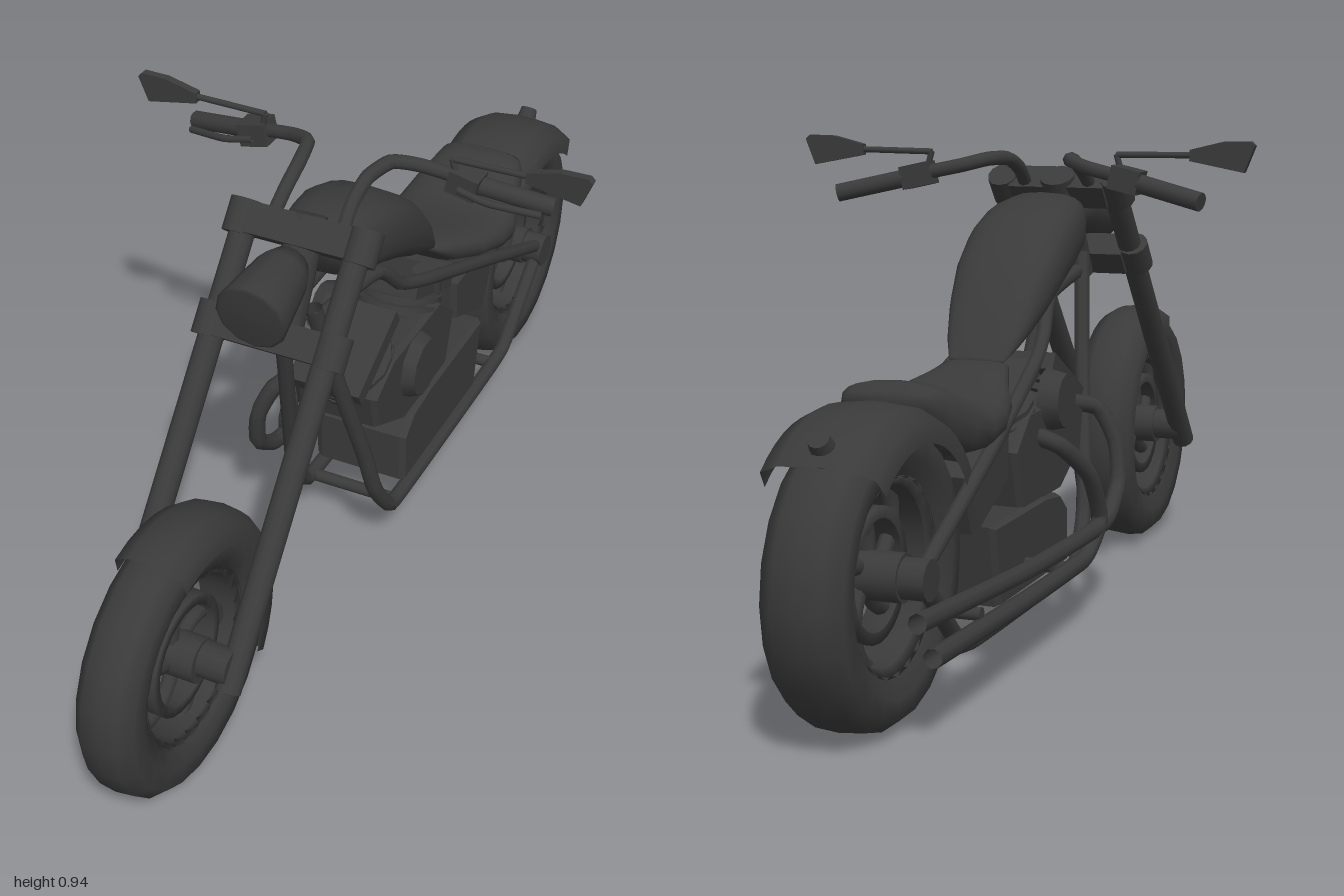
import * as THREE from 'three';

const mat = new THREE.MeshStandardMaterial({ color: 0x3a3a3a, side: THREE.DoubleSide });
const V = (p) => new THREE.Vector3(...p);
const flip = (p, s) => [p[0] * s, p[1], p[2]];

export function createModel() {
  const model = new THREE.Group();
  model.name = 'motorcycle';

  const add = (name, geo, parent = model) => {
    const m = new THREE.Mesh(geo, mat);
    m.name = name;
    parent.add(m);
    return m;
  };
  // straight round bar between two points
  const rod = (name, a, b, r, r2 = r, seg = 12, parent = model) => {
    const d = V(b).sub(V(a));
    const m = add(name, new THREE.CylinderGeometry(r2, r, d.length(), seg), parent);
    m.position.copy(V(a)).addScaledVector(d, 0.5);
    m.quaternion.setFromUnitVectors(V([0, 1, 0]), d.normalize());
    return m;
  };
  // bent pipe through points
  const pipe = (name, pts, r, parent = model, seg = 36) =>
    add(name, new THREE.TubeGeometry(new THREE.CatmullRomCurve3(pts.map(V), false, 'catmullrom', 0.3), seg, r, 8), parent);
  const both = (fn) => [1, -1].forEach((s) => fn(s, s > 0 ? 'left' : 'right'));
  // side outline [z, y] extruded across the width
  const slab = (name, pts, half, bevel = 0.012) => {
    const shape = new THREE.Shape(pts.map(([z, y]) => new THREE.Vector2(-z, y)));
    const geo = new THREE.ExtrudeGeometry(shape, {
      depth: 2 * (half - bevel), bevelEnabled: true, bevelSize: 0.006, bevelThickness: bevel, bevelSegments: 1,
    });
    return add(name, geo.translate(0, 0, bevel - half).rotateY(Math.PI / 2));
  };
  // body lofted through rounded sections [z, top, bottom, halfWidth], front to back
  const loft = (name, secs, power, n = 20) => {
    const pos = [], idx = [], bend = (v) => Math.sign(v) * Math.abs(v) ** power;
    for (const [z, t, b, w] of secs)
      for (let j = 0; j < n; j++) {
        const a = (j / n) * Math.PI * 2;
        pos.push(w * bend(Math.cos(a)), (t + b) / 2 + ((t - b) / 2) * bend(Math.sin(a)), z);
      }
    const last = (secs.length - 1) * n, c = pos.length / 3;
    for (const s of [secs[0], secs[secs.length - 1]]) pos.push(0, (s[1] + s[2]) / 2, s[0]);
    for (let j = 0; j < n; j++) {
      const k = (j + 1) % n;
      for (let i = 0; i < last; i += n) idx.push(i + j, i + n + j, i + k, i + k, i + n + j, i + n + k);
      idx.push(c, j, k, c + 1, last + k, last + j);
    }
    const geo = new THREE.BufferGeometry();
    geo.setAttribute('position', new THREE.Float32BufferAttribute(pos, 3));
    geo.setIndex(idx);
    geo.computeVertexNormals();
    return add(name, geo);
  };
  // profile [radius, x] turned about the x axis, between two elevations from +z
  const turn = (name, pts, parent, seg = 24, from = 0, to = 360) => {
    const rad = Math.PI / 180;
    const geo = new THREE.LatheGeometry(pts.map((p) => new THREE.Vector2(...p)), seg, -to * rad, (to - from) * rad);
    return add(name, geo.rotateZ(-Math.PI / 2), parent);
  };

  // wheels
  const wheel = (name, z, w) => {
    const g = new THREE.Group();
    g.name = name;
    g.position.set(0, 0.26, z);
    model.add(g);
    turn('tire', [[0.165, -w * 0.75], [0.2, -w], [0.235, -w], [0.256, -w * 0.6], [0.26, 0], [0.256, w * 0.6],
      [0.235, w], [0.2, w], [0.165, w * 0.75], [0.165, -w * 0.75]], g, 22);
    turn('rim', [[0.152, -w * 0.6], [0.168, -w * 0.78], [0.168, w * 0.78], [0.152, w * 0.6], [0.152, -w * 0.6]], g);
    turn('innerRing', [[0.095, -0.025], [0.115, -0.025], [0.115, 0.025], [0.095, 0.025], [0.095, -0.025]], g);
    for (let i = 0; i < 5; i++) {
      const pts = [0.03, 0.07, 0.11, 0.14, 0.162].map((r, k) => {
        const a = (i / 5) * Math.PI * 2 + k * 0.24;
        return [0, r * Math.sin(a), r * Math.cos(a)];
      });
      pipe('spoke', pts, 0.015, g, 10);
    }
    rod('hub', [-w, 0, 0], [w, 0, 0], 0.042, 0.042, 16, g);
    return g;
  };
  const front = wheel('frontWheel', 0.74, 0.056);
  const rear = wheel('rearWheel', -0.74, 0.072);
  turn('frontFender', [[0.215, -0.067], [0.25, -0.064], [0.268, -0.035], [0.272, 0], [0.268, 0.035],
    [0.25, 0.064], [0.215, 0.067]], front, 14, 75, 216);
  turn('rearFender', [[0.222, -0.105], [0.26, -0.1], [0.279, -0.065], [0.286, 0], [0.279, 0.065],
    [0.26, 0.1], [0.222, 0.105]], rear, 14, 32, 131);
  rod('tailLight', [0, 0.475, -0.87], [0, 0.515, -0.905], 0.026, 0.018);

  // fork, clamps and steering head
  const forkAt = (y, x) => [x, y, 0.74 - (y - 0.245) * 0.872];
  both((s, side) => {
    rod(side + 'ForkLeg', forkAt(0.225, 0.113 * s), forkAt(0.84, 0.113 * s), 0.024);
    for (const y of [0.835, 0.69]) rod(side + 'ForkClamp', forkAt(y - 0.024, 0.12 * s), forkAt(y + 0.024, 0.12 * s), 0.031);
    rod(side + 'AxleSpacer', [0.04 * s, 0.262, 0.735], [0.113 * s, 0.262, 0.735], 0.034);
  });
  for (const y of [0.835, 0.69]) {
    const m = add('clampBridge', new THREE.BoxGeometry(0.2, 0.058, 0.06));
    m.position.set(...forkAt(y, 0));
    m.rotation.x = -0.72;
  }
  rod('steeringHead', [0, 0.65, 0.32], [0, 0.86, 0.2], 0.036);

  // headlight shell
  const lamp = add('headlight', new THREE.LatheGeometry([[0, -0.16], [0.035, -0.155], [0.052, -0.12], [0.062, -0.05],
    [0.069, 0], [0.062, 0.004], [0, 0.006]].map((p) => new THREE.Vector2(...p)), 12));
  lamp.position.set(0, 0.775, 0.425);
  lamp.rotation.x = Math.PI / 2 + 0.17;

  // handlebars, grips and mirrors
  both((s, side) => {
    const at = (p) => flip(p, s);
    pipe(side + 'Handlebar', [[0.07, 0.83, 0.22], [0.066, 0.875, 0.16], [0.068, 0.898, 0.1], [0.085, 0.9, 0.035],
      [0.13, 0.888, 0.005], [0.2, 0.873, -0.01], [0.25, 0.86, -0.02]].map(at), 0.014);
    rod(side + 'Grip', at([0.23, 0.864, -0.015]), at([0.37, 0.832, -0.05]), 0.018);
    const box = add(side + 'Switch', new THREE.BoxGeometry(0.058, 0.045, 0.05));
    box.position.set(0.214 * s, 0.868, -0.01);
    box.rotation.z = -0.22 * s;
    pipe(side + 'Lever', [[0.21, 0.865, 0.02], [0.27, 0.852, 0.02], [0.36, 0.833, -0.012]].map(at), 0.007);
    rod(side + 'MirrorPost', at([0.2, 0.88, 0]), at([0.19, 0.915, 0]), 0.006);
    rod(side + 'MirrorArm', at([0.19, 0.914, 0]), at([0.345, 0.916, 0]), 0.006);
    const shape = new THREE.Shape([[0.335, 0.905], [0.44, 0.885], [0.46, 0.935], [0.452, 0.943], [0.4, 0.942],
      [0.335, 0.926]].map(([x, y]) => new THREE.Vector2(x * s, y)));
    add(side + 'Mirror', new THREE.ExtrudeGeometry(shape, { depth: 0.016, bevelEnabled: false }).translate(0, 0, -0.008));
  });

  // fuel tank and seat
  loft('fuelTank', [[0.187, 0.81, 0.76, 0.05], [0.165, 0.826, 0.715, 0.075], [0.11, 0.832, 0.69, 0.092],
    [0.04, 0.822, 0.668, 0.103], [-0.03, 0.795, 0.638, 0.105], [-0.1, 0.745, 0.6, 0.1], [-0.16, 0.68, 0.57, 0.088],
    [-0.21, 0.605, 0.55, 0.072], [-0.243, 0.55, 0.538, 0.055]], 0.75);
  loft('seat', [[-0.245, 0.545, 0.525, 0.065], [-0.3, 0.537, 0.475, 0.085], [-0.37, 0.522, 0.45, 0.118],
    [-0.43, 0.51, 0.435, 0.134], [-0.49, 0.51, 0.42, 0.134], [-0.54, 0.537, 0.42, 0.122], [-0.59, 0.56, 0.44, 0.105],
    [-0.625, 0.562, 0.48, 0.095], [-0.645, 0.55, 0.515, 0.08]], 0.7);

  // frame rails
  both((s, side) => {
    const at = (p) => flip(p, s);
    pipe(side + 'CradleTube', [[0.035, 0.7, 0.255], [0.055, 0.5, 0.2], [0.08, 0.3, 0.14], [0.09, 0.19, 0.11],
      [0.095, 0.115, 0.06], [0.095, 0.095, 0], [0.095, 0.095, -0.52], [0.095, 0.125, -0.59], [0.1, 0.26, -0.74]].map(at), 0.016, model, 60);
    pipe(side + 'TopTube', [[0.03, 0.665, 0.25], [0.05, 0.64, 0.02], [0.065, 0.57, -0.06], [0.08, 0.53, -0.15],
      [0.1, 0.42, -0.42], [0.1, 0.27, -0.74]].map(at), 0.014);
    rod(side + 'RearAxleBlock', at([0.07, 0.26, -0.74]), at([0.118, 0.26, -0.74]), 0.036);
  });
  for (const z of [0.02, -0.5]) rod('crossTube', [-0.095, 0.095, z], [0.095, 0.095, z], 0.013);

  // twin engine with finned cylinders
  slab('crankcase', [[0.1, 0.4], [0.02, 0.44], [-0.2, 0.44], [-0.27, 0.38], [-0.235, 0.27], [-0.03, 0.27], [0.085, 0.33]], 0.09);
  [['frontCylinder', 0.066, 0.485, 0.5], ['rearCylinder', -0.212, 0.495, -0.4]].forEach(([name, z, y, tilt]) => {
    const g = new THREE.Group();
    g.name = name;
    g.position.set(0, y, z);
    g.rotation.x = tilt;
    model.add(g);
    add('barrel', new THREE.CylinderGeometry(0.07, 0.07, 0.17, 14), g).position.y = -0.085;
    for (let i = 0; i < 6; i++)
      add('fin', new THREE.CylinderGeometry(0.09, 0.09, 0.01, 14), g).position.y = -0.045 - i * 0.02;
    add('head', new THREE.BoxGeometry(0.15, 0.034, 0.195), g).position.y = -0.017;
  });
  rod('engineCover', [0.08, 0.37, -0.08], [0.115, 0.37, -0.08], 0.075, 0.06, 10);
  rod('intakeCover', [-0.08, 0.45, -0.08], [-0.12, 0.45, -0.08], 0.062, 0.052, 12);
  rod('downLink', [0.05, 0.24, -0.22], [0.05, 0.5, -0.22], 0.03);

  // gearbox case and oil tank
  slab('gearCase', [[-0.02, 0.225], [-0.06, 0.258], [-0.14, 0.267], [-0.405, 0.267], [-0.375, 0.125], [-0.02, 0.125]], 0.1);
  slab('oilTank', [[-0.3, 0.425], [-0.36, 0.425], [-0.49, 0.375], [-0.45, 0.275], [-0.305, 0.34]], 0.085);

  // paired exhausts on the right side
  pipe('upperExhaust', [[-0.06, 0.42, 0.08], [-0.11, 0.4, 0.14], [-0.142, 0.33, 0.155], [-0.153, 0.25, 0.14],
    [-0.155, 0.195, 0.07], [-0.154, 0.185, -0.02], [-0.153, 0.195, -0.4], [-0.153, 0.228, -0.88]], 0.017, model, 60);
  pipe('lowerExhaust', [[-0.06, 0.4, -0.16], [-0.12, 0.37, -0.12], [-0.152, 0.3, -0.04], [-0.154, 0.2, 0.02],
    [-0.154, 0.145, -0.06], [-0.153, 0.14, -0.15], [-0.153, 0.142, -0.4], [-0.153, 0.155, -0.82]], 0.017, model, 60);
  for (const z of [-0.25, -0.6]) rod('exhaustBracket', [-0.09, 0.17, z], [-0.15, 0.17, z], 0.012);

  return model;
}
